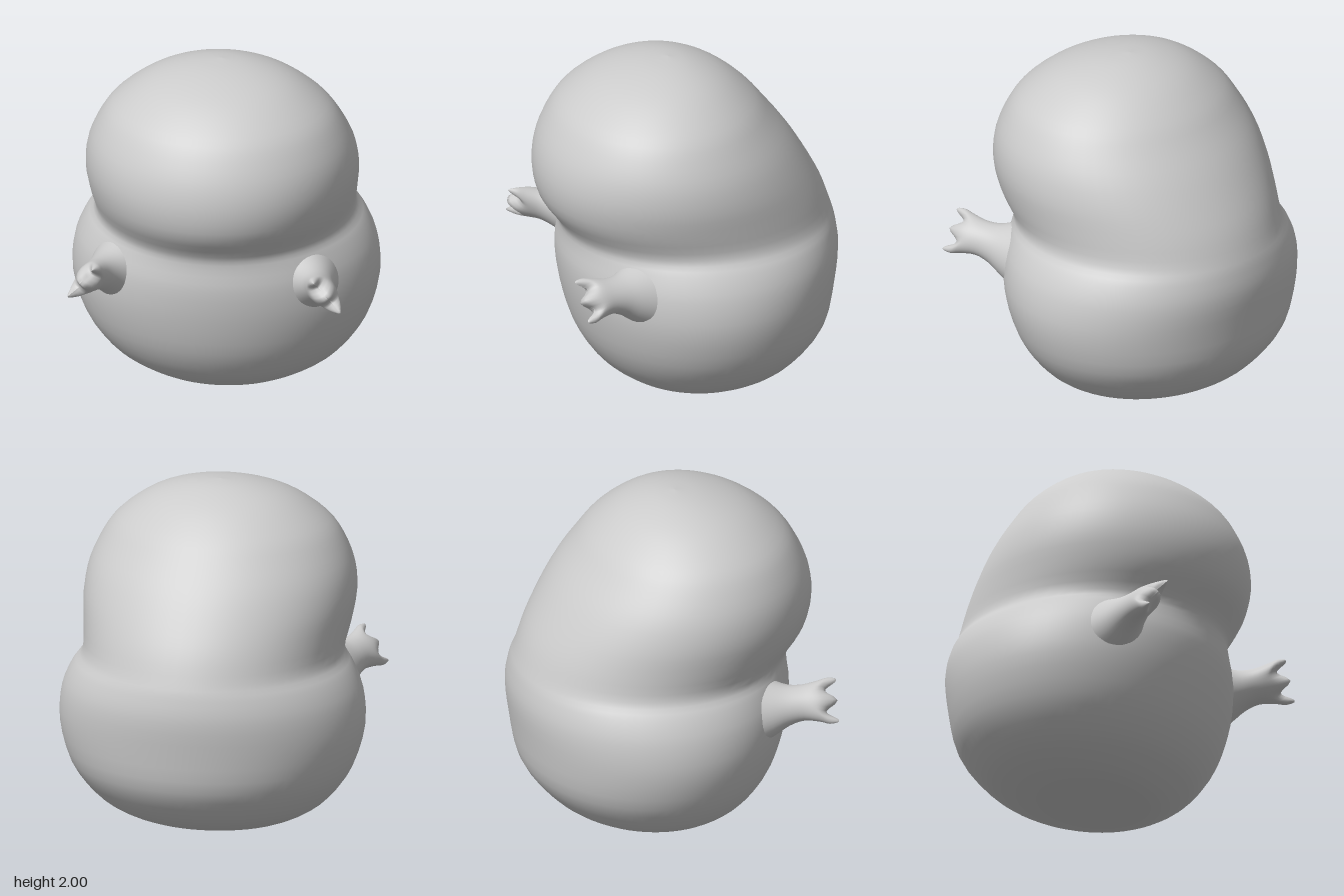
import * as THREE from 'three';

const material = new THREE.MeshStandardMaterial({ color: 0xcccccc });

// Smooth closed-ring skin: point(i, angle) gives a Vector3 on ring i
function loft(rows, segments, point) {
  const positions = [], index = [];
  for (let i = 0; i < rows; i++) {
    for (let j = 0; j < segments; j++) {
      positions.push(...point(i, (j / segments) * Math.PI * 2).toArray());
    }
  }
  for (let i = 0; i < rows - 1; i++) {
    for (let j = 0; j < segments; j++) {
      const k = (j + 1) % segments;
      const a = i * segments + j, b = i * segments + k;
      index.push(a, b, b + segments, a, b + segments, a + segments);
    }
  }
  const geometry = new THREE.BufferGeometry();
  geometry.setAttribute('position', new THREE.Float32BufferAttribute(positions, 3));
  geometry.setIndex(index);
  geometry.computeVertexNormals();
  return geometry;
}

// Body and head in one skin: height, half width, front z, back z
const BODY = [
  [0, 0, 0.02, 0.02], [0.008, 0.2, 0.2, -0.18], [0.03, 0.4, 0.32, -0.38],
  [0.1, 0.57, 0.44, -0.56], [0.2, 0.7, 0.55, -0.69], [0.37, 0.82, 0.65, -0.81],
  [0.6, 0.885, 0.715, -0.855], [0.8, 0.87, 0.74, -0.88], [0.94, 0.81, 0.73, -0.865],
  [1.03, 0.75, 0.745, -0.84], [1.18, 0.767, 0.85, -0.785], [1.34, 0.785, 0.885, -0.7],
  [1.5, 0.765, 0.865, -0.6], [1.65, 0.7, 0.8, -0.485], [1.76, 0.62, 0.72, -0.395],
  [1.87, 0.48, 0.58, -0.27], [1.94, 0.34, 0.43, -0.15], [1.985, 0.17, 0.26, -0.02],
  [2, 0, 0.1, 0.1],
];

function bodyGeometry() {
  const sides = new THREE.CatmullRomCurve3(
    BODY.map(([y, w, f, b]) => new THREE.Vector3(w, y, (f + b) / 2)), false, 'catmullrom');
  const depths = new THREE.CatmullRomCurve3(
    BODY.map(([y, , f, b]) => new THREE.Vector3((f - b) / 2, y, 0)), false, 'catmullrom');
  const rows = (BODY.length - 1) * 3 + 1;
  return loft(rows, 64, (i, a) => {
    const s = sides.getPoint(i / (rows - 1));
    const d = depths.getPoint(i / (rows - 1)).x;
    return new THREE.Vector3(s.x * Math.sin(a), Math.max(0, s.y), s.z + d * Math.cos(a));
  });
}

// Arm sections: centre x, y, z, half breadth, half thickness, finger scallop
const ARM = [
  [0.52, 0.79, 0.38, 0.23, 0.2, 0], [0.57, 0.805, 0.5, 0.165, 0.15, 0],
  [0.61, 0.825, 0.58, 0.12, 0.11, 0], [0.645, 0.845, 0.66, 0.105, 0.085, 0],
  [0.675, 0.855, 0.735, 0.12, 0.075, 0.008], [0.69, 0.857, 0.775, 0.135, 0.058, 0.02],
  [0.702, 0.86, 0.805, 0.13, 0.028, 0.033], [0.705, 0.86, 0.812, 0.12, 0, 0.035],
];

function armGeometry(side) {
  const forward = new THREE.Vector3(0.33, 0.1, 0.94).normalize();
  const broad = new THREE.Vector3(-0.6, 0.78, 0.13).normalize();
  const thin = new THREE.Vector3().crossVectors(broad, forward).normalize();
  const centre = new THREE.CatmullRomCurve3(
    ARM.map(([x, y, z]) => new THREE.Vector3(x, y, z)), false, 'catmullrom');
  const size = new THREE.CatmullRomCurve3(
    ARM.map(([, , , w, t, f]) => new THREE.Vector3(w, t, f)), false, 'catmullrom');
  const rows = (ARM.length - 1) * 3 + 1;
  return loft(rows, 40, (i, a) => {
    const c = centre.getPoint(i / (rows - 1));
    const s = size.getPoint(i / (rows - 1));
    const across = Math.sin(a * side);
    // Three blunt fingers: the rim advances at both edges and the middle
    c.addScaledVector(broad, s.x * across)
      .addScaledVector(thin, Math.max(0, s.y) * Math.cos(a))
      .addScaledVector(forward, s.z * Math.cos(across * Math.PI * 2));
    c.x *= side;
    return c;
  });
}

export function createModel() {
  const model = new THREE.Group();
  const add = (name, geometry) => {
    const mesh = new THREE.Mesh(geometry, material);
    mesh.name = name;
    model.add(mesh);
  };
  add('body', bodyGeometry());
  add('leftArm', armGeometry(1));
  add('rightArm', armGeometry(-1));
  return model;
}
